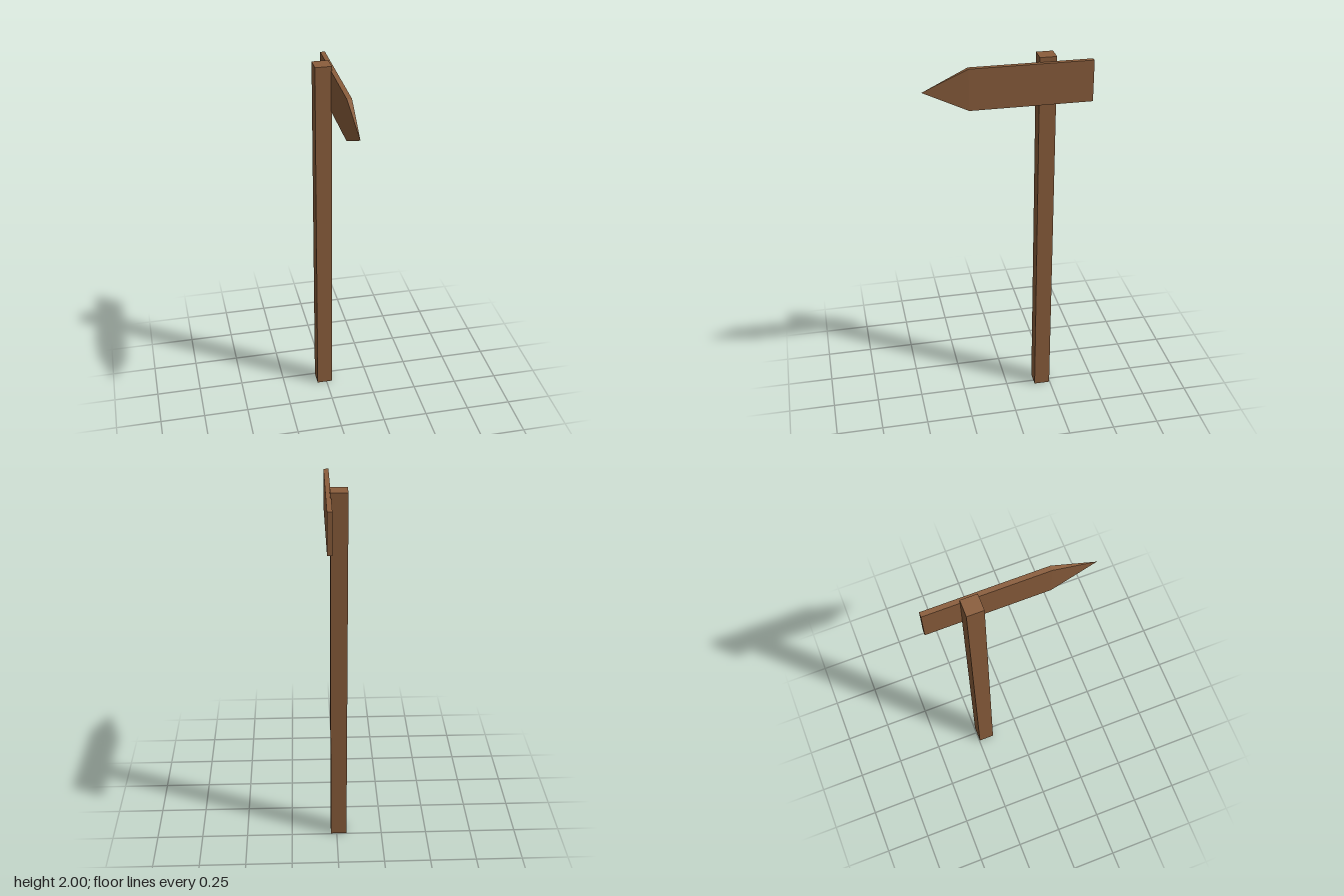
import * as THREE from 'three';
import { ConvexGeometry } from 'three/addons/geometries/ConvexGeometry.js';

export function createModel() {
  const model = new THREE.Group();
  model.name = 'signpost';

  const wood = new THREE.MeshStandardMaterial({ color: 0x8b5e3c });
  wood.name = 'brown wood';

  // Square upright post, set towards the back
  const post = new THREE.Mesh(new THREE.BoxGeometry(0.087, 2, 0.087), wood);
  post.name = 'post';
  post.position.set(-0.011, 1, -0.203);
  model.add(post);

  // Arrow board: a flat plank whose front end narrows to a single point
  const halfThickness = 0.0127, halfHeight = 0.109;
  const points = [new THREE.Vector3(0, 0, 0.433)];
  for (const z of [-0.433, 0.2])
    for (const x of [-halfThickness, halfThickness])
      for (const y of [-halfHeight, halfHeight])
        points.push(new THREE.Vector3(x, y, z));
  const board = new THREE.Mesh(new ConvexGeometry(points), wood);
  board.name = 'arrowBoard';
  board.position.set(0.0405, 1.866, 0);
  model.add(board);

  return model;
}
